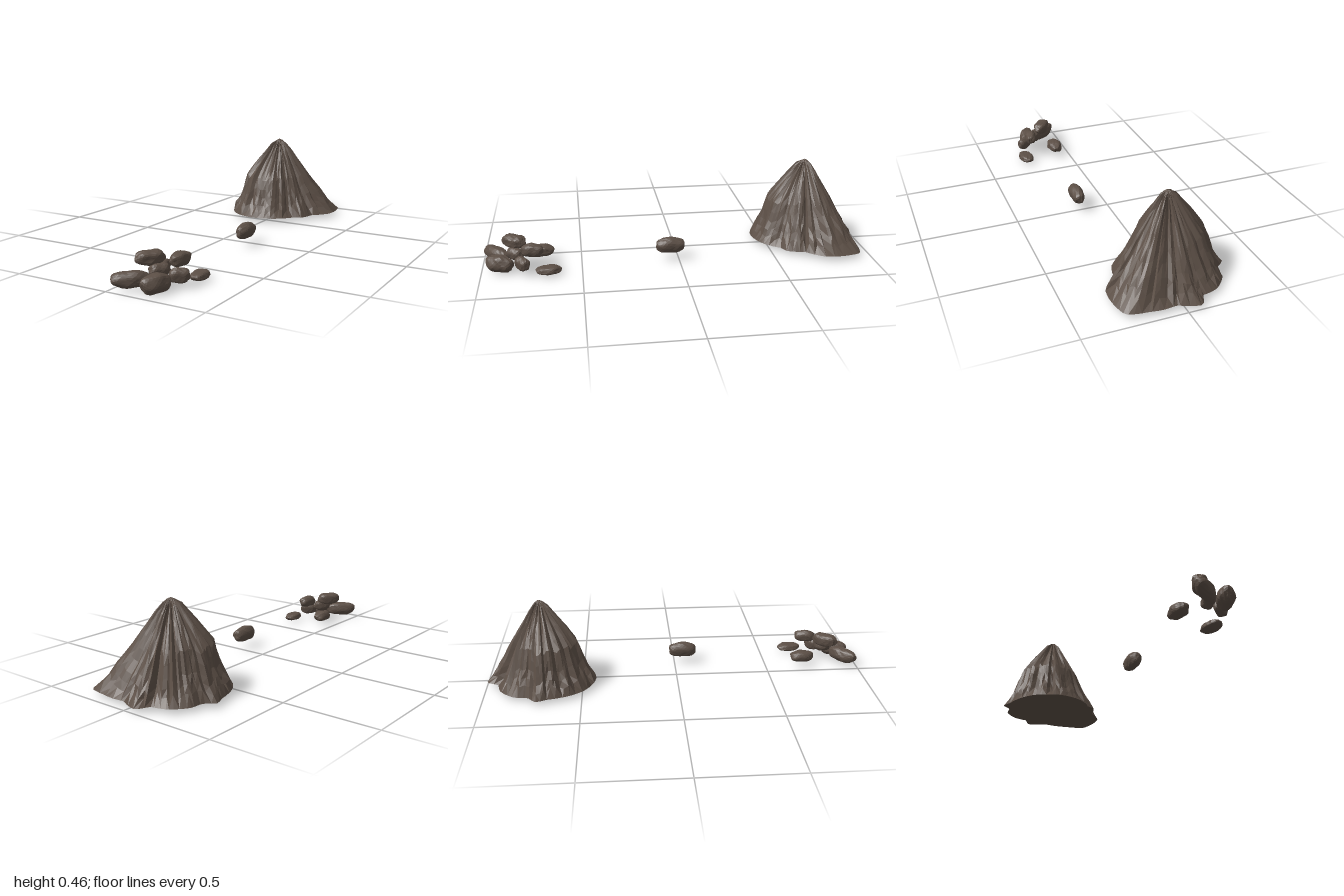
import * as THREE from 'three';

const lerp = THREE.MathUtils.lerp;

// small seeded random generator
function seeded(seed) {
  return () => {
    seed = (seed * 16807) % 2147483647;
    return seed / 2147483647;
  };
}

// straight-line lookup in a list of [key, value] pairs with rising keys
function sample(pairs, k) {
  for (let i = 1; i < pairs.length; i++) {
    const [k0, v0] = pairs[i - 1], [k1, v1] = pairs[i];
    if (k <= k1) return lerp(v0, v1, (k - k0) / (k1 - k0));
  }
  return pairs[pairs.length - 1][1];
}

// foot of the mountain as [x, z]
const FOOT = [
  [-0.07, -1.0], [0.04, -0.96], [0.17, -0.96], [0.275, -0.94], [0.295, -0.75], [0.22, -0.66],
  [0.195, -0.57], [0.15, -0.55], [0.06, -0.46], [-0.06, -0.43], [-0.2, -0.49], [-0.27, -0.61],
  [-0.285, -0.67], [-0.308, -0.73], [-0.255, -0.77], [-0.25, -0.84], [-0.18, -0.915], [-0.1, -0.935],
];
const PEAK = { x: -0.02, z: -0.705, y: 0.458 };

// rows from foot to peak: [y, spread on steep sides, spread on the flared side]
const ROWS = [
  [0.022, 1, 1], [0.065, 0.93, 0.87], [0.1, 0.86, 0.79], [0.14, 0.79, 0.7], [0.19, 0.75, 0.59],
  [0.24, 0.7, 0.49], [0.29, 0.56, 0.39], [0.34, 0.42, 0.29], [0.385, 0.28, 0.2],
  [0.42, 0.18, 0.12], [0.45, 0.06, 0.05],
];

function mountainGeometry() {
  const N = 88, rand = seeded(417);
  const polar = FOOT.map(([x, z]) => [
    Math.atan2(z - PEAK.z, x - PEAK.x), Math.hypot(x - PEAK.x, z - PEAK.z),
  ]).sort((a, b) => a[0] - b[0]);
  const first = polar[0], last = polar[polar.length - 1];
  const ring = [[last[0] - 2 * Math.PI, last[1]], ...polar, [first[0] + 2 * Math.PI, first[1]]];

  // each column keeps its own depth, which makes the gullies run downhill
  const columns = Array.from({ length: N }, (_, i) => ({
    angle: -Math.PI + ((i + 0.5 * rand()) / N) * 2 * Math.PI,
    gully: 1.02 - 0.12 * rand() * rand(),
    lift: rand() - 0.5,
  }));
  const pos = [], index = [];
  ROWS.forEach(([y, steep, flared], r) => {
    for (const { angle, gully, lift } of columns) {
      const flare = 0.5 + 0.5 * Math.cos(angle + Math.PI / 4);
      const depth = r === 0 ? 1 : gully + (rand() - 0.5) * (r < 4 ? 0.05 : 0.03);
      const radius = sample(ring, angle) * lerp(steep, flared, flare) * depth;
      const rise = r === 0 || r === ROWS.length - 1 ? 0 : lift * 0.03;
      pos.push(PEAK.x + radius * Math.cos(angle), y + rise, PEAK.z + radius * Math.sin(angle));
    }
  });
  const top = pos.length / 3;
  pos.push(PEAK.x, PEAK.y, PEAK.z, PEAK.x, ROWS[0][0], PEAK.z);
  const end = (ROWS.length - 1) * N;
  for (let i = 0; i < N; i++) {
    const j = (i + 1) % N;
    for (let r = 0; r < ROWS.length - 1; r++) {
      const a = r * N + i, b = r * N + j, c = a + N, d = b + N;
      if (i % 2) index.push(a, c, b, b, c, d);
      else index.push(a, c, d, a, d, b);
    }
    index.push(top, end + j, end + i, top + 1, i, j);
  }
  const geo = new THREE.BufferGeometry();
  geo.setAttribute('position', new THREE.Float32BufferAttribute(pos, 3));
  geo.setIndex(index);
  const flat = geo.toNonIndexed();
  flat.computeVertexNormals();
  return flat;
}

// lumpy, slightly boxy boulder fitted to the given half sizes
function boulderGeometry(size, seed) {
  const geo = new THREE.IcosahedronGeometry(1, 4);
  const p = geo.attributes.position, v = new THREE.Vector3();
  for (let i = 0; i < p.count; i++) {
    v.fromBufferAttribute(p, i);
    const box = Math.pow(Math.abs(v.x) ** 2.5 + Math.abs(v.y) ** 2.5 + Math.abs(v.z) ** 2.5, -1 / 2.5);
    const lump = 0.05 * Math.sin(4 * v.x + seed) * Math.sin(5 * v.y + 2 * seed)
      + 0.04 * Math.sin(6 * v.z + 3 * seed + 2 * v.y) + 0.02 * Math.sin(13 * v.x + 11 * v.z + seed);
    v.multiplyScalar(box * (0.97 + lump));
    p.setXYZ(i, v.x * size[0], v.y * size[1], v.z * size[2]);
  }
  geo.computeVertexNormals();
  return geo;
}

// [name, centre, half sizes, turn about y]
const BOULDERS = [
  ['topBoulder', [0.12, 0.128, 0.835], [0.038, 0.035, 0.07], -0.6],
  ['longBoulder', [0.085, 0.05, 0.932], [0.036, 0.039, 0.086], -0.86],
  ['frontBoulder', [0.197, 0.044, 0.91], [0.04, 0.044, 0.072], -0.4],
  ['upperBoulder', [0.214, 0.114, 0.745], [0.031, 0.033, 0.058], -0.2],
  ['sideBoulder', [0.242, 0.055, 0.795], [0.027, 0.035, 0.05], -0.9],
  ['middleBoulder', [0.165, 0.078, 0.83], [0.03, 0.032, 0.05], -0.6],
  ['lowBoulder', [0.267, 0.026, 0.665], [0.039, 0.021, 0.063], 0.1],
  ['backBoulder', [0.078, 0.053, 0.703], [0.04, 0.03, 0.063], 0.05],
  ['loneBoulder', [0.16, 0.078, 0.046], [0.035, 0.041, 0.077], 0],
];

export function createModel() {
  const model = new THREE.Group();
  model.name = 'mountainAndBoulders';
  const rock = new THREE.MeshStandardMaterial({ color: 0x5c4f46 });
  rock.name = 'brown rock';

  const mountain = new THREE.Mesh(mountainGeometry(), rock);
  mountain.name = 'mountain';
  model.add(mountain);

  BOULDERS.forEach(([name, centre, size, turn], i) => {
    const boulder = new THREE.Mesh(boulderGeometry(size, 1 + i * 1.7), rock);
    boulder.name = name;
    boulder.position.set(...centre);
    boulder.rotation.y = turn;
    model.add(boulder);
  });
  return model;
}
